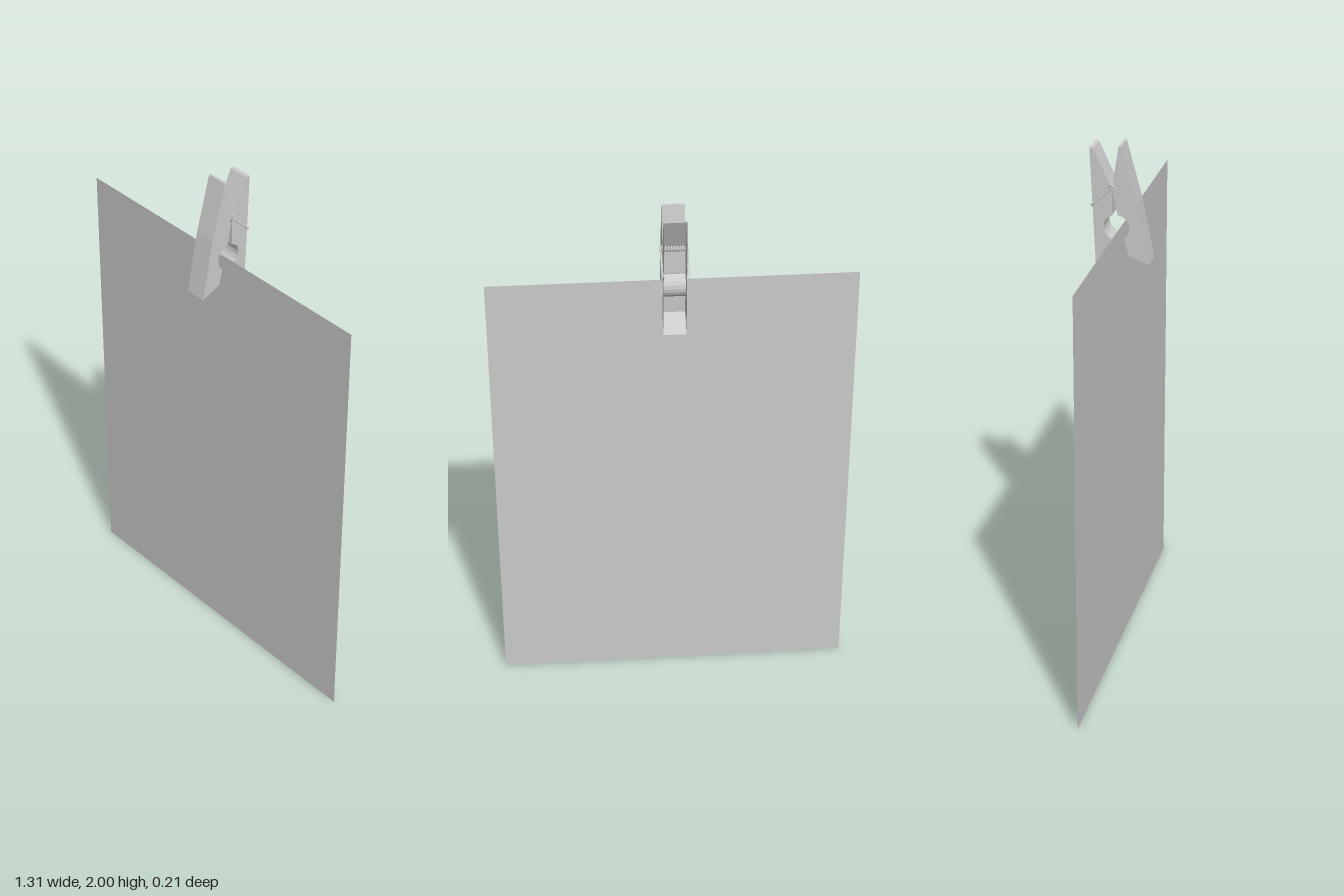
import * as THREE from 'three';

const grey = new THREE.MeshStandardMaterial({ color: 0xcccccc, side: THREE.DoubleSide, flatShading: true });
const HALF = 0.04; // half width of the peg

// Points on the round notch between the jaws, as [z, y]
function notch(fromDeg, toDeg, steps = 8) {
  return Array.from({ length: steps + 1 }, (_, i) => {
    const a = THREE.MathUtils.degToRad(fromDeg + (toDeg - fromDeg) * i / steps);
    return [-0.01 + 0.047 * Math.cos(a), 1.7 + 0.047 * Math.sin(a)];
  });
}

// Jaw from a [z, y] outline: two side faces and a band of walls.
// An open jaw has no wall between its last and first point.
function makeJaw(name, outline, open) {
  const jaw = new THREE.Group();
  jaw.name = name;
  const shape = new THREE.Shape(outline.map(([z, y]) => new THREE.Vector2(z, y)));
  for (const side of [-1, 1]) {
    const geo = new THREE.ShapeGeometry(shape);
    geo.rotateY(-Math.PI / 2);
    if (side > 0) geo.scale(-1, 1, 1), geo.index.array.reverse();
    geo.translate(side * HALF, 0, 0);
    geo.computeVertexNormals();
    const face = new THREE.Mesh(geo, grey);
    face.name = side > 0 ? 'leftSide' : 'rightSide';
    jaw.add(face);
  }
  const pos = [];
  const count = outline.length - (open ? 1 : 0);
  for (let i = 0; i < count; i++) {
    const [z0, y0] = outline[i];
    const [z1, y1] = outline[(i + 1) % outline.length];
    const a = [-HALF, y0, z0], b = [HALF, y0, z0], c = [HALF, y1, z1], d = [-HALF, y1, z1];
    pos.push(...a, ...c, ...b, ...a, ...d, ...c);
  }
  const geo = new THREE.BufferGeometry();
  geo.setAttribute('position', new THREE.Float32BufferAttribute(pos, 3));
  geo.computeVertexNormals();
  const walls = new THREE.Mesh(geo, grey);
  walls.name = 'walls';
  jaw.add(walls);
  return jaw;
}

// Coil across the peg with an arm down each side, hooked at its end
function makeSpring() {
  const spring = new THREE.Group();
  spring.name = 'spring';
  const wire = 0.004, y = 1.847, z = -0.027, turns = 9;
  const coilPoints = Array.from({ length: turns * 8 + 1 }, (_, i) => {
    const a = i * Math.PI / 4;
    return new THREE.Vector3(-0.045 + 0.09 * i / (turns * 8), y + 0.01 * Math.sin(a), z + 0.01 * Math.cos(a));
  });
  const coil = new THREE.Mesh(
    new THREE.TubeGeometry(new THREE.CatmullRomCurve3(coilPoints), turns * 10, wire, 6), grey);
  coil.name = 'coil';
  spring.add(coil);
  for (const side of [-1, 1]) {
    const path = new THREE.CurvePath();
    const p = (x, py, pz) => new THREE.Vector3(side * x, py, pz);
    path.add(new THREE.LineCurve3(p(0.045, y + 0.008, z + 0.008), p(0.045, 1.784, -0.092)));
    path.add(new THREE.QuadraticBezierCurve3(p(0.045, 1.784, -0.092), p(0.045, 1.776, -0.101), p(0.037, 1.776, -0.101)));
    const arm = new THREE.Mesh(new THREE.TubeGeometry(path, 16, wire, 6), grey);
    arm.name = side > 0 ? 'leftArm' : 'rightArm';
    spring.add(arm);
  }
  return spring;
}

export function createModel() {
  const model = new THREE.Group();
  model.name = 'sheetWithPeg';

  // Hanging sheet
  const sheet = new THREE.Mesh(new THREE.PlaneGeometry(1.31, 1.705), grey);
  sheet.name = 'sheet';
  sheet.position.set(0, 0.8525, 0.005);
  model.add(sheet);

  // Front jaw, closed all round
  model.add(makeJaw('frontJaw', [
    [0.006, 2], [0.062, 1.795], [0.107, 1.57], [0.032, 1.6], [0.017, 1.661],
    ...notch(-50, 85), [-0.027, 1.845], [-0.003, 2],
  ], false));

  // Back jaw, hollow and open to the rear
  model.add(makeJaw('backJaw', [
    [-0.107, 1.987], [-0.093, 1.985], [-0.027, 1.845], [-0.027, 1.75],
    ...notch(110, 250), [-0.022, 1.59], [-0.085, 1.535],
  ], true));

  model.add(makeSpring());
  return model;
}
